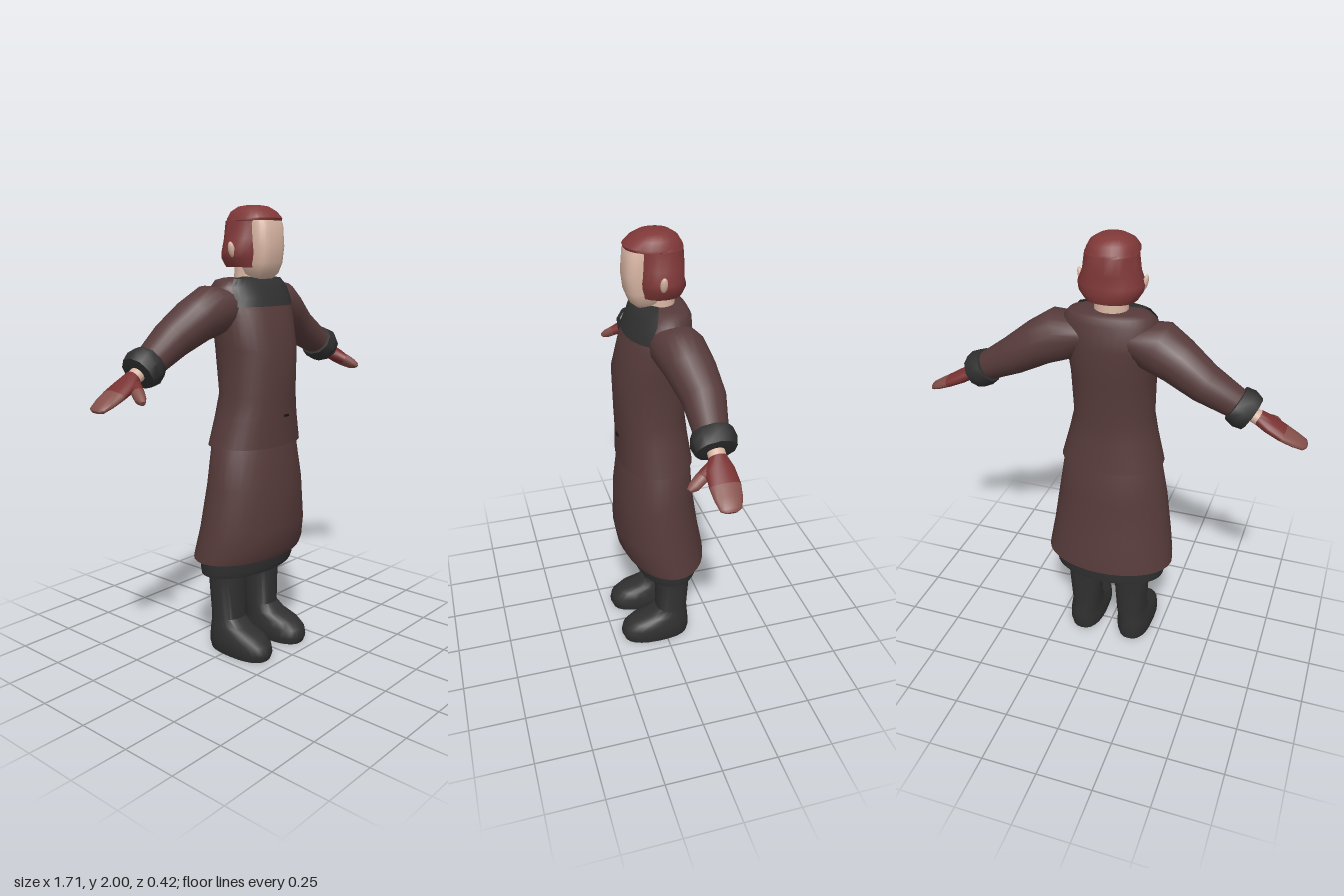
import * as THREE from 'three';
import { toCreasedNormals } from 'three/addons/utils/BufferGeometryUtils.js';

const material = (name, color, side = THREE.FrontSide) => {
  const m = new THREE.MeshStandardMaterial({ color, side });
  m.name = name;
  return m;
};

const DOWN = new THREE.Vector3(0, -1, 0);

// Skin through rings [x, y, z, acrossRadius, depthRadius, halfArc?] along dir.
// A halfArc makes an open strip centred on the front instead of a closed ring.
function loft(rings, { dir = DOWN, n = 24, power = 2, crease = 0.8 } = {}) {
  const d = dir.clone().normalize();
  const v = new THREE.Vector3(0, 0, 1).addScaledVector(d, -d.z).normalize();
  const u = new THREE.Vector3().crossVectors(v, d);
  const open = rings[0][5] !== undefined;
  const bend = (t) => Math.sign(t) * Math.pow(Math.abs(t), 2 / power);
  const pos = [], index = [];
  for (const [x, y, z, ru, rv, half] of rings) {
    for (let i = 0; i <= n; i++) {
      const a = open ? Math.PI / 2 + half * (2 * i / n - 1) : (i % n) / n * Math.PI * 2;
      const p = new THREE.Vector3(x, y, z)
        .addScaledVector(u, ru * bend(Math.cos(a)))
        .addScaledVector(v, rv * bend(Math.sin(a)));
      pos.push(p.x, p.y, p.z);
    }
  }
  const w = n + 1, last = rings.length - 1;
  for (let r = 0; r < last; r++) {
    for (let i = 0; i < n; i++) {
      const a = r * w + i, b = a + w;
      index.push(a, a + 1, b + 1, a, b + 1, b);
    }
  }
  if (!open) {
    const c = pos.length / 3;
    pos.push(...rings[0].slice(0, 3), ...rings[last].slice(0, 3));
    for (let i = 0; i < n; i++) {
      index.push(c, i + 1, i, c + 1, last * w + i, last * w + i + 1);
    }
  }
  const g = new THREE.BufferGeometry();
  g.setAttribute('position', new THREE.Float32BufferAttribute(pos, 3));
  g.setIndex(index);
  return toCreasedNormals(g, crease);
}

// Upright ring from height, half width, front z and back z
const level = (y, rx, front, back, x = 0) => [x, y, (front + back) / 2, rx, (front - back) / 2];

// Mirrored copy of a triangle list across x = 0, with corner order kept outward
function mirrored(geometry) {
  const g = geometry.clone();
  for (const key of ['position', 'normal']) {
    const a = g.attributes[key];
    for (let i = 0; i < a.count; i++) a.setX(i, -a.getX(i));
    for (let i = 0; i < a.count; i += 3) {
      const p = [a.getX(i + 1), a.getY(i + 1), a.getZ(i + 1)];
      a.setXYZ(i + 1, a.getX(i + 2), a.getY(i + 2), a.getZ(i + 2));
      a.setXYZ(i + 2, ...p);
    }
  }
  return g;
}

export function createModel() {
  const model = new THREE.Group();
  model.name = 'coatedFigure';
  const cloth = material('coat brown', 0x563a3a);
  const dark = material('fur and boot black', 0x303030, THREE.DoubleSide);
  const skin = material('skin', 0xd8b5a3);
  const hairRed = material('hair red', 0x803838);
  const gloveRed = material('glove red', 0x7a3232);
  const fingerRed = material('finger brown', 0x85504a);
  const slot = material('button black', 0x181414);

  const add = (name, geometry, mat) => {
    const mesh = new THREE.Mesh(geometry, mat);
    mesh.name = name;
    model.add(mesh);
  };
  const addPair = (name, geometry, mat) => {
    add('left' + name, geometry, mat);
    add('right' + name, mirrored(geometry), mat);
  };

  // Coat: jacket overlapping a long skirt
  add('jacket', loft([
    level(1.697, 0.13, 0.05, -0.09), level(1.688, 0.175, 0.075, -0.115),
    level(1.66, 0.2, 0.1, -0.13), level(1.55, 0.2, 0.155, -0.14),
    level(1.4, 0.185, 0.195, -0.135), level(1.2, 0.18, 0.19, -0.113),
    level(1.1, 0.202, 0.185, -0.125), level(0.975, 0.235, 0.185, -0.145),
  ], { n: 32, power: 2.2 }), cloth);
  add('skirt', loft([
    level(1.05, 0.19, 0.165, -0.11), level(0.97, 0.226, 0.18, -0.14),
    level(0.8, 0.255, 0.2, -0.152), level(0.6, 0.283, 0.205, -0.183),
    level(0.5, 0.298, 0.188, -0.203), level(0.46, 0.302, 0.168, -0.207),
  ], { n: 32 }), cloth);
  add('hemTrim', loft([
    level(0.5, 0.265, 0.14, -0.178), level(0.41, 0.268, 0.135, -0.18),
    level(0.385, 0.262, 0.125, -0.176),
  ], { n: 32 }), dark);

  // Fur bib laid over the top of the chest
  add('collarBib', loft([
    [0, 1.702, -0.02, 0.09, 0.06, 1.0], [0, 1.695, -0.02, 0.18, 0.101, 1.0],
    [0, 1.66, -0.015, 0.206, 0.123, 1.05], [0, 1.615, -0.004, 0.206, 0.138, 1.05],
    [0, 1.58, 0.001, 0.206, 0.147, 1.27],
  ], { n: 14, power: 2.2 }), dark);
  const button = new THREE.BoxGeometry(0.03, 0.009, 0.008);
  button.translate(0.02, 1.107, 0.187);
  add('button', button, slot);

  // Arms, cuffs and hands
  const armDir = new THREE.Vector3(0.86, -0.51, 0);
  const arm = { dir: armDir, n: 20 };
  addPair('Sleeve', loft([
    [0.1, 1.595, -0.02, 0.07, 0.1], [0.2, 1.57, -0.03, 0.115, 0.112],
    [0.3, 1.525, -0.05, 0.1, 0.103], [0.42, 1.452, -0.07, 0.083, 0.088],
    [0.57, 1.365, -0.055, 0.062, 0.066],
  ], arm), cloth);
  addPair('Cuff', loft([
    [0.547, 1.379, -0.057, 0.055, 0.06], [0.55, 1.377, -0.057, 0.077, 0.085],
    [0.585, 1.356, -0.055, 0.086, 0.093], [0.618, 1.337, -0.055, 0.075, 0.083],
    [0.621, 1.335, -0.055, 0.05, 0.055],
  ], { dir: armDir, n: 10 }), dark);
  addPair('Wrist', loft([
    [0.58, 1.359, -0.053, 0.034, 0.035], [0.675, 1.305, -0.05, 0.028, 0.035],
  ], arm), skin);
  addPair('Glove', loft([
    [0.645, 1.325, -0.05, 0.031, 0.036], [0.69, 1.298, -0.045, 0.03, 0.058],
    [0.75, 1.267, -0.045, 0.025, 0.062],
  ], arm), gloveRed);
  addPair('Fingers', loft([
    [0.75, 1.267, -0.045, 0.025, 0.062], [0.8, 1.242, -0.042, 0.021, 0.055],
    [0.84, 1.223, -0.038, 0.016, 0.042], [0.851, 1.218, -0.036, 0.006, 0.022],
  ], arm), fingerRed);
  const thumb = { dir: new THREE.Vector3(0.05, -0.05, 0.08), n: 10 };
  addPair('ThumbBase', loft([
    [0.66, 1.303, -0.03, 0.026, 0.026], [0.69, 1.277, 0.025, 0.024, 0.026],
  ], thumb), gloveRed);
  addPair('ThumbTip', loft([
    [0.69, 1.277, 0.025, 0.024, 0.026], [0.708, 1.256, 0.06, 0.02, 0.023],
    [0.717, 1.246, 0.082, 0.01, 0.011],
  ], thumb), fingerRed);

  // Head: neck, flat-fronted face, ears and bobbed hair
  add('neck', loft([
    level(1.78, 0.068, 0.06, -0.068), level(1.66, 0.074, 0.06, -0.075),
  ]), skin);
  add('face', loft([
    level(1.955, 0.075, 0.12, -0.04), level(1.92, 0.083, 0.138, -0.04),
    level(1.83, 0.083, 0.146, -0.04), level(1.76, 0.078, 0.138, -0.03),
    level(1.715, 0.066, 0.12, -0.01), level(1.693, 0.045, 0.095, 0.01),
  ], { n: 28, power: 3.4 }), skin);
  add('hair', loft([
    level(2, 0.025, 0.04, -0.01), level(1.994, 0.06, 0.078, -0.05),
    level(1.973, 0.093, 0.115, -0.083), level(1.945, 0.108, 0.142, -0.1),
    level(1.935, 0.11, 0.138, -0.103), level(1.934, 0.11, 0.105, -0.103),
    level(1.86, 0.12, 0.105, -0.108), level(1.81, 0.141, 0.1, -0.106),
    level(1.78, 0.135, 0.098, -0.114), level(1.742, 0.11, 0.092, -0.1),
  ], { power: 2.15 }), hairRed);
  const ear = new THREE.SphereGeometry(1, 12, 8).toNonIndexed();
  ear.scale(0.012, 0.034, 0.016).rotateZ(-0.25).translate(0.137, 1.815, 0.01);
  addPair('Ear', ear, skin);

  // Tall boots
  addPair('Boot', loft([
    level(0.46, 0.082, 0.035, -0.125, 0.115), level(0.36, 0.083, 0.036, -0.123, 0.115),
    level(0.16, 0.07, 0.038, -0.113, 0.115), level(0.125, 0.074, 0.085, -0.115, 0.119),
    level(0.1, 0.08, 0.165, -0.118, 0.122), level(0.07, 0.086, 0.203, -0.12, 0.123),
    level(0.03, 0.087, 0.212, -0.121, 0.123), level(0, 0.078, 0.2, -0.115, 0.123),
  ], { power: 2.4 }), dark);

  return model;
}
